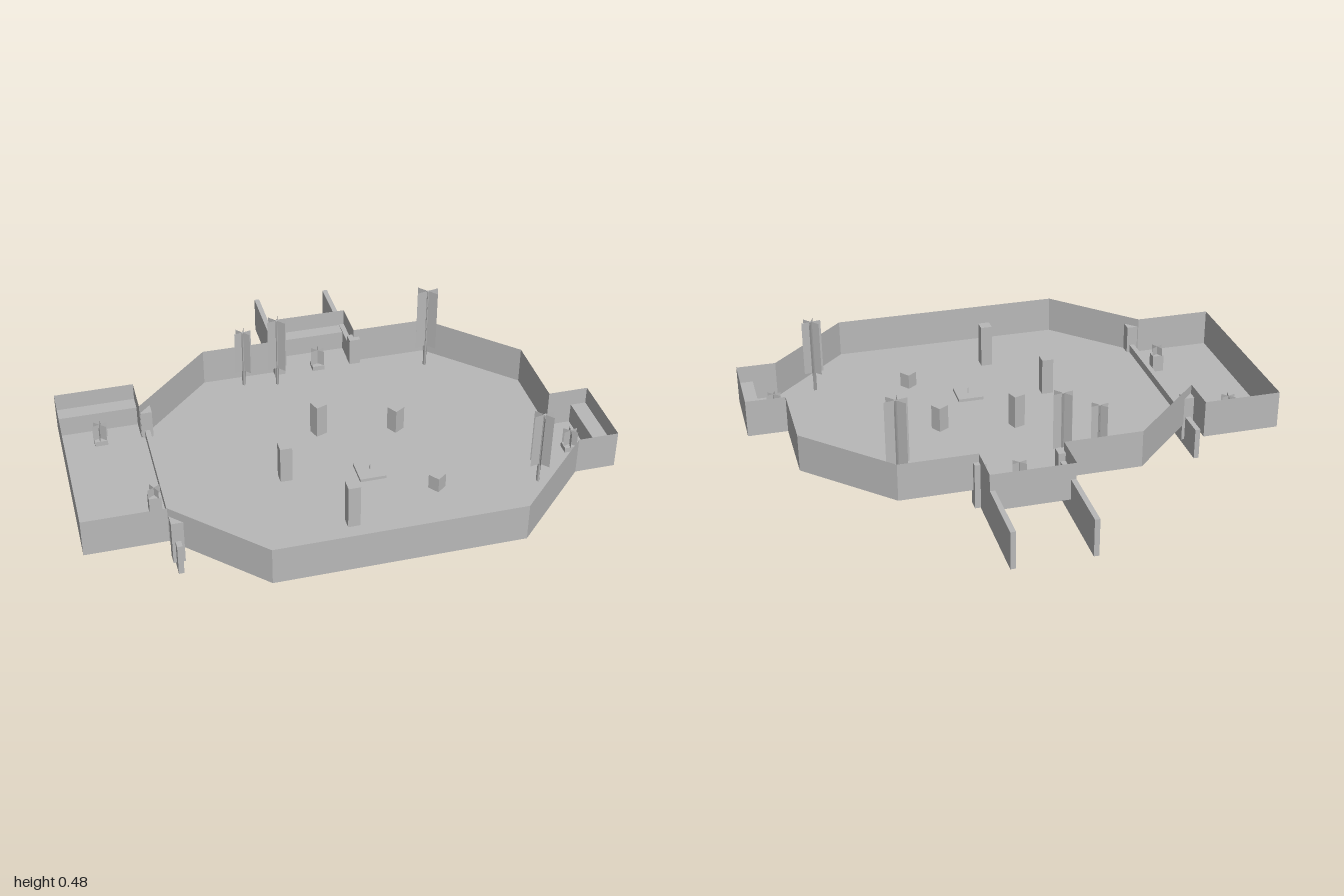
import * as THREE from 'three';

export function createModel() {
  const model = new THREE.Group();
  const stone = new THREE.MeshStandardMaterial({ color: 0xb8b8b8, side: THREE.DoubleSide });
  stone.name = 'grey stone';
  const FLOOR = 0.13, WALL_TOP = 0.28;

  function add(name, geometry, parent = model) {
    const mesh = new THREE.Mesh(geometry, stone);
    mesh.name = name;
    parent.add(mesh);
    return mesh;
  }

  // Box given by its ranges on each axis
  function block(name, x0, x1, y0, y1, z0, z1) {
    const mesh = add(name, new THREE.BoxGeometry(x1 - x0, y1 - y0, z1 - z0));
    mesh.position.set((x0 + x1) / 2, (y0 + y1) / 2, (z0 + z1) / 2);
    return mesh;
  }

  // Upright sheets crossing on one axis
  function crossedSheets(name, x, z, y0, y1, width, count, turn = 0) {
    const group = new THREE.Group();
    group.name = name;
    group.position.set(x, (y0 + y1) / 2, z);
    for (let i = 0; i < count; i++) {
      add('sheet', new THREE.PlaneGeometry(width, y1 - y0), group).rotation.y = turn + i * Math.PI / count;
    }
    model.add(group);
  }

  // Octagonal arena outline with three alcoves, as x, z pairs
  const outline = [
    [-0.39, -0.4], [-0.085, -0.4], [-0.085, -0.555], [0.235, -0.555], [0.235, -0.4], [0.535, -0.4],
    [0.845, -0.095], [0.845, 0.215], [1, 0.215], [1, 0.515], [0.845, 0.515],
    [0.535, 0.825], [-0.39, 0.825], [-0.695, 0.52], [-1, 0.52], [-1, -0.25], [-0.695, -0.25], [-0.695, -0.1],
  ].map(([x, z]) => new THREE.Vector2(x, z));

  // Floor sheet
  const floor = new THREE.ShapeGeometry(new THREE.Shape(outline));
  floor.rotateX(Math.PI / 2);
  add('floor', floor).position.y = FLOOR;

  // Thin perimeter wall, one sheet for each side of the outline
  outline.forEach((a, i) => {
    const b = outline[(i + 1) % outline.length];
    const wall = add('wall', new THREE.PlaneGeometry(a.distanceTo(b), WALL_TOP - FLOOR));
    wall.position.set((a.x + b.x) / 2, (WALL_TOP + FLOOR) / 2, (a.y + b.y) / 2);
    wall.rotation.y = -Math.atan2(b.y - a.y, b.x - a.x);
  });

  // Low ledges along the alcove ends
  block('sideAlcoveLedge', -1, -0.695, FLOOR, 0.21, -0.25, -0.19);
  block('backAlcoveLedge', -0.065, 0.215, FLOOR, 0.21, -0.555, -0.5);
  block('smallAlcoveLedge', 0.94, 1, FLOOR, 0.21, 0.215, 0.515);

  // Gate posts and sliding panels
  for (const [x, z] of [[-0.67, -0.12], [-0.67, 0.545], [-0.08, -0.4], [0.235, -0.4]]) {
    block('gatePost', x - 0.022, x + 0.022, 0.065, 0.245, z - 0.022, z + 0.022);
  }
  block('sideGatePanel', -0.68, -0.66, 0.038, 0.163, -0.25, 0.598);
  for (const x of [-0.075, 0.225]) {
    block('backGatePanel', x - 0.01, x + 0.01, 0.063, 0.213, -0.83, -0.41);
  }

  // Square pillars sunk to different depths: x, z, bottom, top, turn
  const pillars = [
    [-0.025, 0.035, 0.065, 0.265, 0.35],
    [0.27, 0.085, 0.035, 0.23, 0.55],
    [-0.215, 0.275, 0.1, 0.28, 0],
    [0.315, 0.47, 0.003, 0.19, 0.65],
    [-0.04, 0.585, 0.12, 0.305, 0],
  ];
  for (const [x, z, y0, y1, turn] of pillars) {
    block('pillar', x - 0.023, x + 0.023, y0, y1, z - 0.023, z + 0.023).rotation.y = turn;
  }

  // Central sunken pedestal with a small pin
  block('pedestal', 0.048, 0.15, 0.01, 0.142, 0.27, 0.374);
  block('pedestalPin', 0.098, 0.102, 0.142, 0.165, 0.318, 0.322);

  // Stand beside the side gate, topped by crossed sheets
  block('gateStand', -0.738, -0.692, 0.015, 0.2, 0.32, 0.36);
  crossedSheets('standTop', -0.715, 0.34, 0.2, 0.235, 0.055, 2, 0.5);

  // Small crossed markers in the alcoves
  for (const [x, z] of [[-0.85, -0.11], [0.08, -0.39], [0.875, 0.375]]) {
    crossedSheets('alcoveMarker', x, z, 0.15, 0.215, 0.06, 3, 0.3);
    block('markerBase', x - 0.025, x + 0.025, 0.1, 0.15, z - 0.022, z + 0.022);
  }

  // Tall standards: star of sheets on a three-sided stem (x, z, bottom, top, width)
  const standards = [
    [-0.237, -0.345, 0.2, 0.383, 0.07],
    [-0.105, -0.315, 0.21, 0.436, 0.08],
    [0.512, -0.3, 0.225, 0.485, 0.092],
    [0.69, 0.53, 0.21, 0.436, 0.08],
  ];
  for (const [x, z, y0, y1, width] of standards) {
    crossedSheets('standardStar', x, z, y0, y1, width, 3, 0.2);
    const stem = add('standardStem', new THREE.CylinderGeometry(0.008, 0.008, y1 - FLOOR, 3));
    stem.position.set(x, (y1 + FLOOR) / 2, z);
  }

  return model;
}
